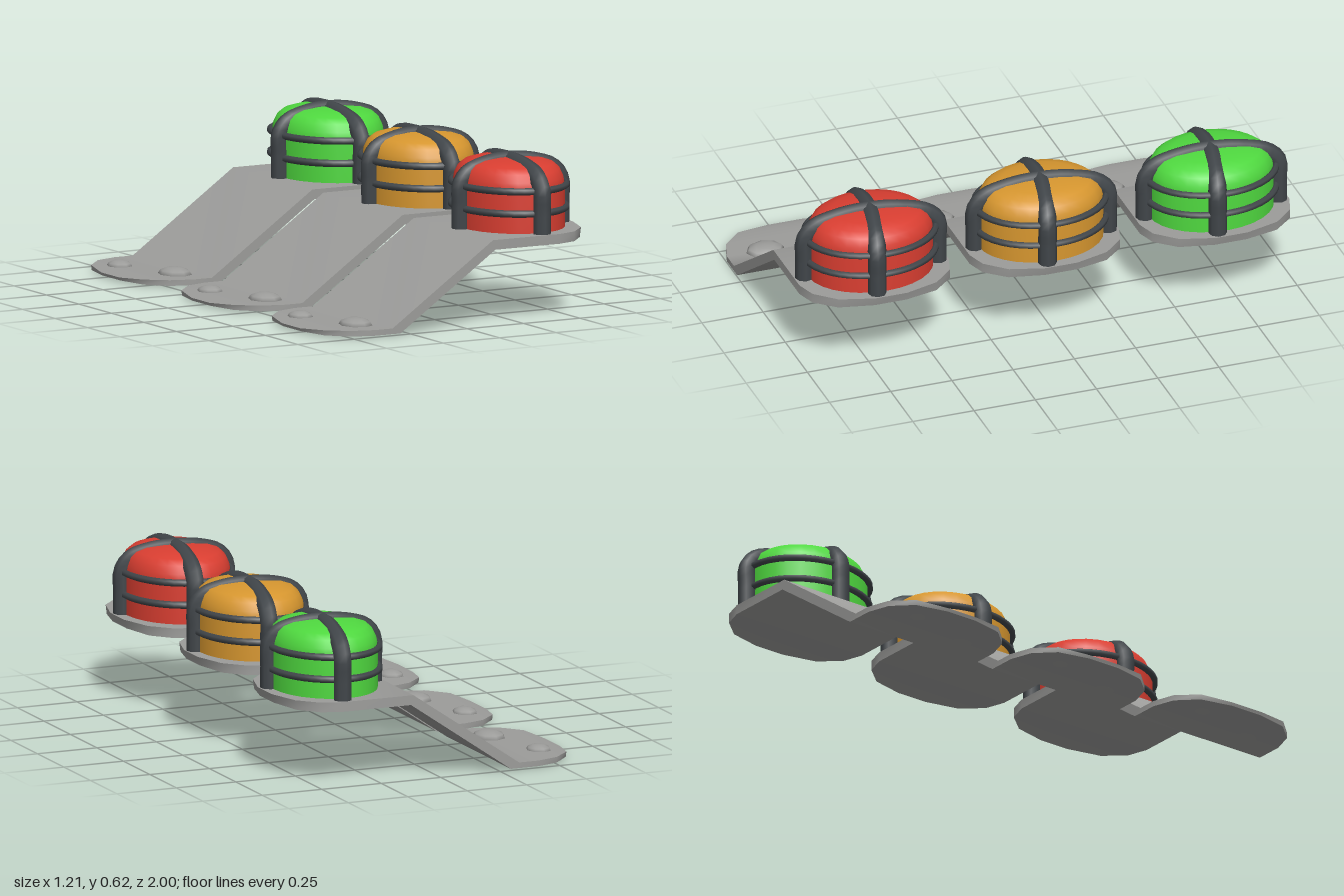
import * as THREE from 'three';
import { toCreasedNormals } from 'three/addons/utils/BufferGeometryUtils.js';

const material = (name, color) => {
  const m = new THREE.MeshStandardMaterial({ color });
  m.name = name;
  return m;
};

// Bent mounting plate: stations of [top x, top y, bottom x, bottom y, half width]
function plateGeometry() {
  const stations = [
    [-0.605, 0.018, -0.6, 0.006, 0.07],
    [-0.575, 0.026, -0.572, 0.006, 0.2],
    [-0.5, 0.028, -0.5, 0.006, 0.277],
    [-0.41, 0.028, -0.41, 0.006, 0.305],
    [-0.33, 0.028, -0.295, 0.006, 0.305],
    [0.115, 0.335, 0.125, 0.297, 0.305],
    [0.41, 0.335, 0.41, 0.297, 0.305],
    [0.49, 0.335, 0.49, 0.297, 0.28],
    [0.565, 0.335, 0.56, 0.297, 0.2],
    [0.605, 0.335, 0.595, 0.3, 0.065],
  ];
  const pos = [], index = [];
  for (const [tx, ty, bx, by, w] of stations) {
    pos.push(tx, ty, w, tx, ty, -w, bx, by, -w, bx, by, w);
  }
  const quad = (a, b, c, d) => index.push(a, b, c, a, c, d);
  const n = stations.length;
  for (let i = 0; i < n - 1; i++) {
    for (let k = 0; k < 4; k++) {
      const a = i * 4 + k, b = i * 4 + (k + 1) % 4;
      quad(a, a + 4, b + 4, b);
    }
  }
  quad(0, 1, 2, 3);
  const e = (n - 1) * 4;
  quad(e + 3, e + 2, e + 1, e);
  const g = new THREE.BufferGeometry();
  g.setAttribute('position', new THREE.Float32BufferAttribute(pos, 3));
  g.setIndex(index);
  return toCreasedNormals(g, 0.7);
}

// Rounded lens, unit radius in plan
function lensGeometry() {
  const profile = [
    [1, 0.32], [1, 0.5], [0.975, 0.53], [0.91, 0.56],
    [0.8, 0.58], [0.6, 0.594], [0.3, 0.601], [0, 0.603],
  ].map(([r, y]) => new THREE.Vector2(r, y));
  return new THREE.LatheGeometry(profile, 28);
}

// Guard bar arching over the lens between two feet [x, z]
function barGeometry(a, b) {
  const levels = [[1, 0.325], [1, 0.42], [0.99, 0.505], [0.83, 0.55], [0.5, 0.574], [0.2, 0.583]];
  const at = ([x, z], [s, y]) => new THREE.Vector3(x * s, y, z * s);
  const points = [
    ...levels.map((l) => at(a, l)),
    ...levels.slice().reverse().map((l) => at(b, l)),
  ];
  return new THREE.TubeGeometry(new THREE.CatmullRomCurve3(points), 36, 0.036, 8);
}

// Thin oval guard ring, lying flat
function ringGeometry() {
  const points = [];
  for (let i = 0; i < 20; i++) {
    const t = (i / 20) * Math.PI * 2;
    points.push(new THREE.Vector3(Math.cos(t) * 0.208, 0, Math.sin(t) * 0.258));
  }
  return new THREE.TubeGeometry(new THREE.CatmullRomCurve3(points, true), 40, 0.014, 6, true);
}

export function createModel() {
  const model = new THREE.Group();
  model.name = 'signalLamps';
  const steel = material('steel grey', 0x9c9c9a);
  const guard = material('dark guard', 0x41464a);
  const lamps = [
    ['red', material('red lens', 0xd93e31), 0.695],
    ['amber', material('amber lens', 0xd6962f), 0],
    ['green', material('green lens', 0x4fd83f), -0.695],
  ];

  const plate = plateGeometry();
  const lens = lensGeometry();
  const ring = ringGeometry();
  const bars = [
    barGeometry([-0.21, -0.005], [0.205, 0.043]),
    barGeometry([0.035, -0.265], [-0.005, 0.265]),
  ];
  const rivet = new THREE.SphereGeometry(1, 8, 6);

  for (const [name, color, z] of lamps) {
    const lamp = new THREE.Group();
    lamp.name = name + 'Lamp';
    lamp.position.z = z;
    const add = (parent, label, geometry, mat) => {
      const mesh = new THREE.Mesh(geometry, mat);
      mesh.name = label;
      parent.add(mesh);
      return mesh;
    };
    add(lamp, 'mountingPlate', plate, steel);

    // Rivets: x, z, radius in x, radius in z, half height
    for (const [x, rz, sx, sz, sy] of [[-0.49, -0.127, 0.048, 0.058, 0.024], [-0.405, 0.15, 0.062, 0.077, 0.028]]) {
      const r = add(lamp, 'rivet', rivet, steel);
      r.position.set(x, sy === 0.028 ? 0.028 : 0.026, rz);
      r.scale.set(sx, sy, sz);
    }

    // Lens with its cage
    const head = new THREE.Group();
    head.name = 'lampHead';
    head.position.x = 0.36;
    lamp.add(head);
    add(head, 'lens', lens, color).scale.set(0.203, 1, 0.25);
    for (const b of bars) add(head, 'guardBar', b, guard);
    for (const y of [0.413, 0.5]) add(head, 'guardRing', ring, guard).position.y = y;
    model.add(lamp);
  }
  return model;
}
